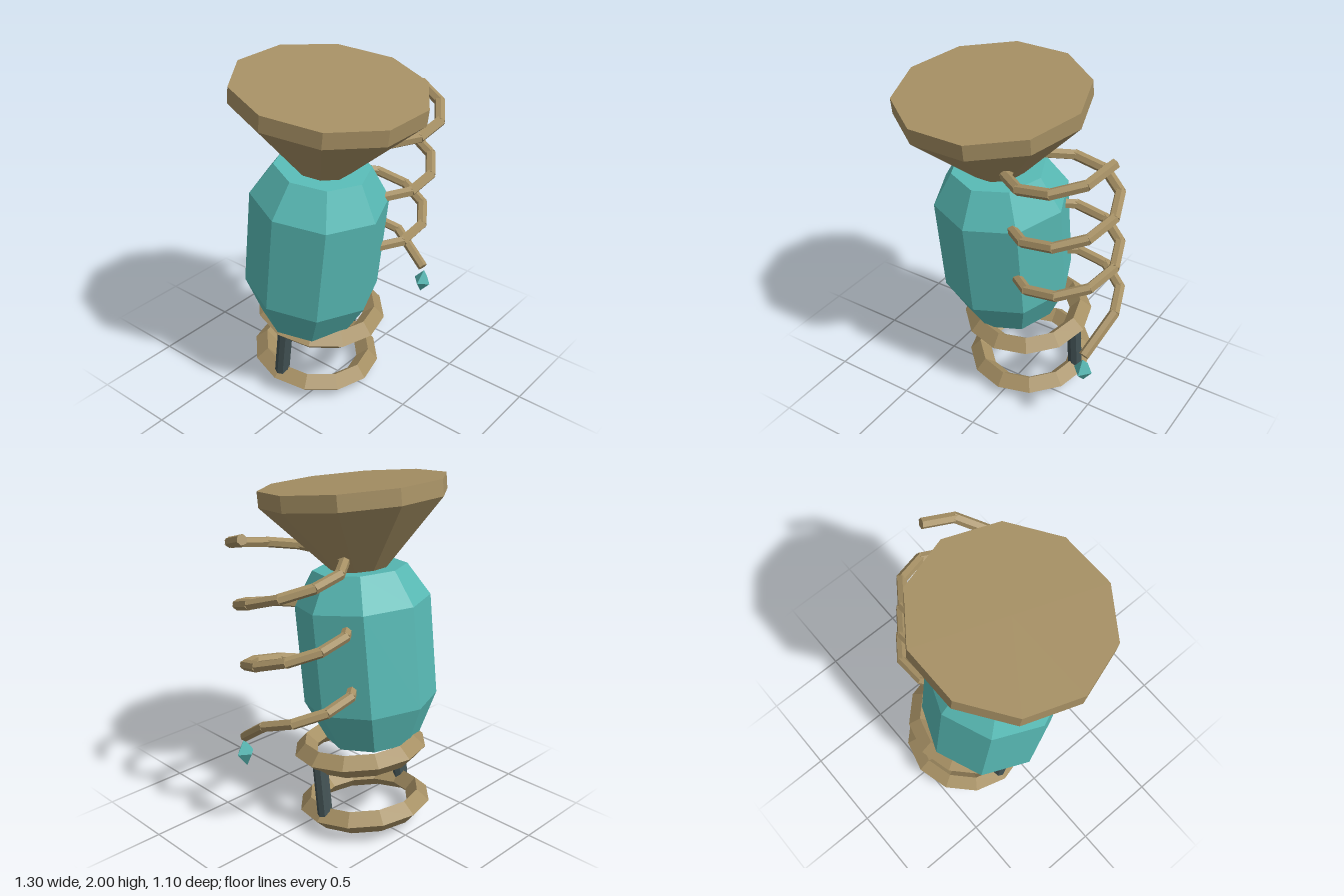
import * as THREE from 'three';

export function createModel() {
  const mat = (name, color) => {
    const m = new THREE.MeshStandardMaterial({ color, flatShading: true });
    m.name = name;
    return m;
  };
  const tan = mat('tan', 0xa69064);
  const teal = mat('teal', 0x58bab5);
  const dark = mat('dark slate', 0x445456);

  // everything leans forward around the x axis
  const root = new THREE.Group();
  root.name = 'tiltedLantern';
  root.rotation.x = 0.122;

  const add = (name, geometry, material, x, y, z) => {
    const mesh = new THREE.Mesh(geometry, material);
    mesh.name = name;
    mesh.position.set(x, y, z);
    root.add(mesh);
    return mesh;
  };
  const lathe = (profile, sides) =>
    new THREE.LatheGeometry(profile.map(([r, y]) => new THREE.Vector2(r, y)), sides);

  const axisX = -0.125, ringX = -0.008, axisZ = -0.178;

  // funnel with a vertical rim
  const funnel = add('funnel', lathe(
    [[0, 1.45], [0.155, 1.45], [0.525, 1.842], [0.525, 1.932], [0, 1.932]], 10), tan, axisX, 0, axisZ);
  funnel.rotation.y = Math.PI / 2;

  // eight-sided body
  add('body', lathe(
    [[0, 0.45], [0.272, 0.45], [0.385, 0.687], [0.385, 1.271], [0.267, 1.46], [0, 1.46]], 8),
  teal, axisX, 0, axisZ);

  // two base rings of diamond section
  const t = 0.066, major = 0.32;
  const ringProfile = [[major, -t], [major + t, 0], [major, t], [major - t, 0], [major, -t]];
  add('lowerRing', lathe(ringProfile, 12), tan, ringX, 0.087, axisZ);
  add('upperRing', lathe(ringProfile, 12), tan, ringX, 0.428, axisZ);

  // struts between the rings
  for (const side of [-1, 1]) {
    add(side > 0 ? 'leftStrut' : 'rightStrut',
      new THREE.CylinderGeometry(0.043, 0.043, 0.34, 8), dark, ringX + side * major, 0.258, axisZ);
  }

  // descending coil, ten straight pieces per turn
  const points = [];
  const coilX = 0.325, coilZ = -0.11, coilR = 0.295, pitch = 0.336;
  for (let i = 0; i <= 30; i++) {
    const a = (i / 10) * Math.PI * 2;
    points.push(new THREE.Vector3(
      coilX + coilR * Math.cos(a), 1.744 - (pitch * i) / 10, coilZ + coilR * Math.sin(a)));
  }
  points.push(new THREE.Vector3(0.567, 0.605, 0.14));
  const up = new THREE.Vector3(0, 1, 0);
  for (let i = 0; i < points.length - 1; i++) {
    const dir = points[i + 1].clone().sub(points[i]);
    const mid = points[i].clone().addScaledVector(dir, 0.5);
    const piece = add('coilPiece', new THREE.CylinderGeometry(0.03, 0.03, dir.length() + 0.012, 6),
      tan, mid.x, mid.y, mid.z);
    piece.quaternion.setFromUnitVectors(up, dir.normalize());
  }

  // crystal under the loose coil end
  const crystal = add('crystal', new THREE.OctahedronGeometry(1, 0), teal, 0.566, 0.503, 0.158);
  crystal.scale.set(0.056, 0.08, 0.056);

  const group = new THREE.Group();
  group.name = 'model';
  group.add(root);
  return group;
}
